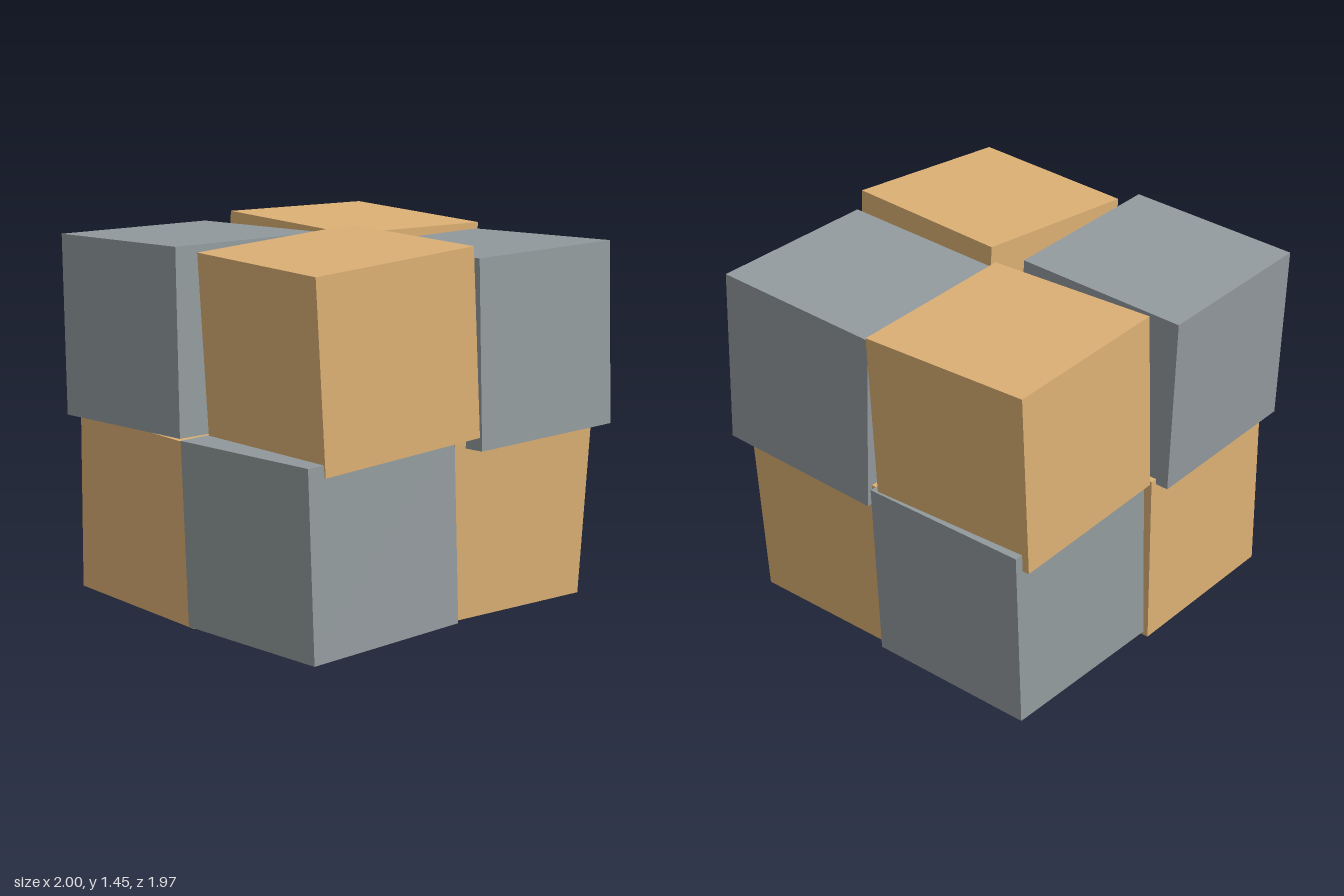
import * as THREE from 'three';

const SIDE = 0.7;
const Y = new THREE.Vector3(0, 1, 0);

export function createModel() {
  const group = new THREE.Group();
  const tan = new THREE.MeshStandardMaterial({ color: 0xdcb074 });
  const slate = new THREE.MeshStandardMaterial({ color: 0x929a9d });
  const geometry = new THREE.BoxGeometry(SIDE, SIDE, SIDE);

  // A cube turned by yaw degrees, then leaned so its up axis is (leanX, 1, leanZ)
  function addCube(name, material, center, yaw, leanX, leanZ) {
    const cube = new THREE.Mesh(geometry, material);
    cube.name = name;
    cube.position.set(...center);
    const up = new THREE.Vector3(leanX, 1, leanZ).normalize();
    cube.quaternion.setFromUnitVectors(Y, up);
    cube.quaternion.multiply(
      new THREE.Quaternion().setFromAxisAngle(Y, THREE.MathUtils.degToRad(yaw)));
    group.add(cube);
  }

  // Upper layer, alternating colours
  addCube('upperRightCube', slate, [-0.525, 1.057, -0.178], 29.3, 0, -0.05);
  addCube('upperBackCube', tan, [0.171, 1.054, -0.508], 29.3, 0.04, 0);
  addCube('upperLeftCube', slate, [0.52, 1.032, 0.138], 29.3, -0.015, -0.045);
  addCube('upperFrontCube', tan, [-0.102, 1.083, 0.472], 24.9, -0.052, 0.017);

  // Lower layer, colours swapped
  addCube('lowerFrontCube', slate, [-0.178, 0.398, 0.497], 29.1, -0.022, -0.037);
  addCube('lowerRightCube', tan, [-0.481, 0.36, -0.13], 29.1, 0.012, 0);
  addCube('lowerLeftCube', tan, [0.446, 0.392, 0.104], 26.4, 0.045, 0.027);
  addCube('lowerBackCube', slate, [0.175, 0.416, -0.507], 27.3, 0.03, 0.008);

  return group;
}
